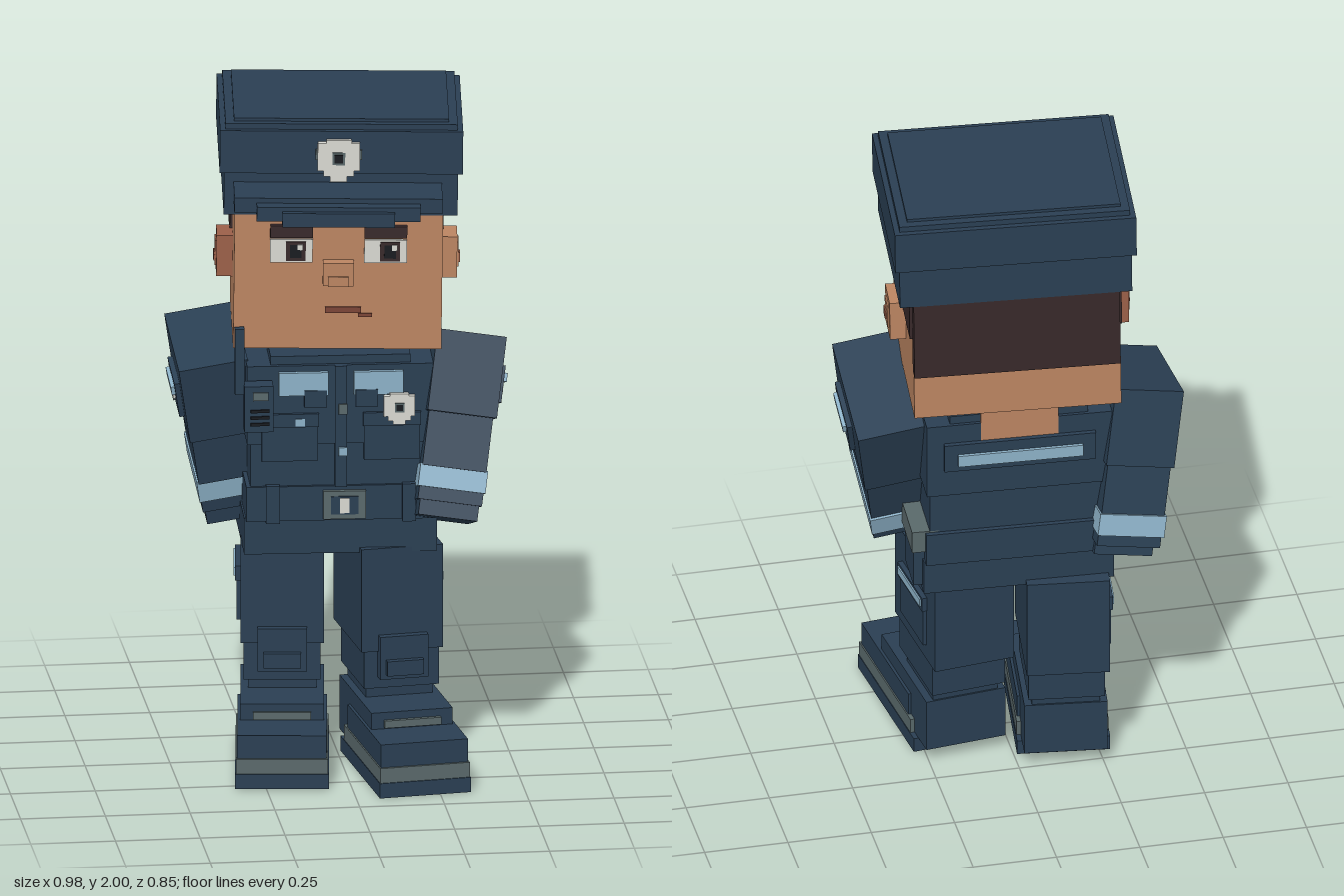
import * as THREE from 'three';

const mat = (name, color) => {
  const m = new THREE.MeshStandardMaterial({ color });
  m.name = name;
  return m;
};

export function createModel() {
  const navy = mat('navy cloth', 0x2a3f53);
  const blue = mat('light blue trim', 0x8db2c8);
  const grey = mat('grey trim', 0x5a696b);
  const white = mat('white enamel', 0xd9d9d2);
  const skin = mat('skin', 0xbc8562);
  const blush = mat('ear tone', 0x9c6049);
  const hair = mat('dark brown hair', 0x38292a);
  const lip = mat('lip', 0x7c4536);
  const black = mat('black', 0x171a1f);

  const model = new THREE.Group();
  model.name = 'officer';

  const group = (name, parent, x, y, z) => {
    const g = new THREE.Group();
    g.name = name;
    g.position.set(x, y, z);
    parent.add(g);
    return g;
  };
  // Box given by its size and centre
  const box = (parent, name, m, w, h, d, x, y, z) => {
    const mesh = new THREE.Mesh(new THREE.BoxGeometry(w, h, d), m);
    mesh.name = name;
    mesh.position.set(x, y, z);
    parent.add(mesh);
  };
  // Box given by its bottom/top and back/front limits
  const slab = (parent, name, m, w, x, y0, y1, z0, z1) =>
    box(parent, name, m, w, y1 - y0, z1 - z0, x, (y0 + y1) / 2, (z0 + z1) / 2);
  // Shield badge with a stepped outline and dark centre
  const badge = (parent, name, x, y, z, s) => {
    const g = group(name, parent, x, y, z);
    box(g, 'badgeBody', white, s, s * 0.68, 0.016, 0, s * 0.12, 0);
    box(g, 'badgeTop', white, s * 0.6, s * 0.1, 0.016, 0, s * 0.48, 0);
    box(g, 'badgeLower', white, s * 0.72, s * 0.16, 0.016, 0, -s * 0.28, 0);
    box(g, 'badgePoint', white, s * 0.4, s * 0.14, 0.016, 0, -s * 0.42, 0);
    box(g, 'badgeRing', grey, s * 0.3, s * 0.3, 0.02, 0, s * 0.08, 0.002);
    box(g, 'badgeCentre', black, s * 0.2, s * 0.2, 0.026, 0, s * 0.08, 0.002);
  };

  // ---- Head and cap, turned slightly to the side ----
  const head = group('head', model, 0, 1.3, -0.095);
  head.rotation.set(0, -0.1, -0.012);
  slab(head, 'face', skin, 0.61, 0, 0, 0.45, -0.25, 0.25);
  slab(head, 'backHair', hair, 0.608, 0.003, 0.16, 0.45, -0.285, -0.24);
  for (const s of [-1, 1]) {
    slab(head, 'sideHair', hair, 0.02, s * 0.303, 0.26, 0.41, -0.225, -0.025);
    box(head, 'ear', s < 0 ? blush : skin, 0.055, 0.125, 0.11, s * 0.325, 0.22, -0.005);
    box(head, 'innerEar', s < 0 ? blush : skin, 0.012, 0.075, 0.062, s * 0.351, 0.222, -0.005);
    box(head, 'earHollow', blush, 0.012, 0.028, 0.034, s * 0.355, 0.212, 0.008);
    const x = s * 0.138;
    box(head, 'eyeWhite', white, 0.125, 0.07, 0.02, x, 0.301, 0.25);
    box(head, 'iris', hair, 0.058, 0.058, 0.02, x + 0.013, 0.301, 0.253);
    box(head, 'pupil', black, 0.034, 0.04, 0.02, x + 0.013, 0.301, 0.256);
    box(head, 'eyeGlint', white, 0.016, 0.016, 0.02, x + 0.026, 0.314, 0.258);
    box(head, 'eyebrow', hair, 0.125, 0.036, 0.04, x, 0.362, 0.25);
  }
  box(head, 'nose', skin, 0.09, 0.07, 0.05, 0, 0.238, 0.265);
  box(head, 'noseBase', skin, 0.06, 0.03, 0.06, 0, 0.218, 0.267);
  box(head, 'mouth', lip, 0.105, 0.018, 0.014, 0.015, 0.12, 0.25);
  box(head, 'mouthCorner', lip, 0.04, 0.01, 0.014, 0.08, 0.104, 0.249);

  const cap = group('cap', head, 0.005, 0, -0.018);
  slab(cap, 'capBand', navy, 0.685, 0, 0.41, 0.54, -0.27, 0.27);
  slab(cap, 'capCrown', navy, 0.712, 0, 0.54, 0.67, -0.282, 0.282);
  slab(cap, 'capRim', navy, 0.68, 0, 0.67, 0.687, -0.265, 0.265);
  slab(cap, 'capTop', navy, 0.63, 0, 0.687, 0.696, -0.24, 0.24);
  for (const s of [-1, 1]) box(cap, 'capStripe', blue, 0.012, 0.028, 0.285, s * 0.343, 0.525, 0.005);
  slab(cap, 'visorInner', navy, 0.61, -0.01, 0.465, 0.51, 0.2, 0.432);
  slab(cap, 'visorMiddle', navy, 0.48, -0.01, 0.452, 0.495, 0.3, 0.473);
  slab(cap, 'visorTip', navy, 0.33, -0.01, 0.44, 0.482, 0.38, 0.492);
  box(cap, 'badgePlate', grey, 0.135, 0.03, 0.012, -0.008, 0.6, 0.286);
  badge(cap, 'capBadge', -0.008, 0.583, 0.297, 0.124);

  // ---- Torso ----
  const torso = group('torso', model, 0, 0, -0.09);
  torso.rotation.y = -0.05;
  slab(torso, 'neck', skin, 0.23, 0, 1.18, 1.32, -0.21, 0.04);
  slab(torso, 'collar', navy, 0.41, 0, 1.22, 1.265, -0.2, 0.2);
  slab(torso, 'chest', navy, 0.55, 0, 1.0, 1.24, -0.21, 0.215);
  slab(torso, 'waist', navy, 0.53, 0, 0.86, 1.0, -0.2, 0.205);
  slab(torso, 'belt', navy, 0.555, 0, 0.765, 0.87, -0.215, 0.215);
  slab(torso, 'hips', navy, 0.565, 0, 0.66, 0.77, -0.2, 0.2);
  slab(torso, 'backYoke', navy, 0.45, 0, 1.09, 1.18, -0.225, -0.2);
  slab(torso, 'backStripe', blue, 0.37, 0, 1.11, 1.147, -0.235, -0.2);
  slab(torso, 'placket', navy, 0.035, 0, 0.87, 1.24, 0.2, 0.228);
  box(torso, 'topButton', grey, 0.025, 0.03, 0.02, 0.005, 1.11, 0.226);
  box(torso, 'lowButton', blue, 0.025, 0.025, 0.02, 0.005, 0.98, 0.226);
  for (const s of [-1, 1]) {
    const x = s * 0.11;
    box(torso, 'chestPanel', blue, 0.145, 0.07, 0.02, x, 1.187, 0.22);
    box(torso, 'collarTab', navy, 0.065, 0.052, 0.03, s * 0.075, 1.142, 0.218);
    box(torso, 'pocket', navy, 0.165, 0.13, 0.02, s * 0.15, 1.015, 0.212);
    box(torso, 'pocketFlap', navy, 0.17, 0.04, 0.026, s * 0.15, 1.075, 0.214);
    box(torso, 'beltLoop', navy, 0.04, 0.115, 0.02, s * 0.2, 0.818, 0.218);
  }
  box(torso, 'pocketButton', blue, 0.027, 0.022, 0.03, -0.12, 1.07, 0.216);
  badge(torso, 'chestBadge', 0.17, 1.108, 0.237, 0.092);
  box(torso, 'buckle', grey, 0.125, 0.085, 0.025, 0.01, 0.815, 0.218);
  box(torso, 'buckleInset', navy, 0.08, 0.055, 0.025, 0.01, 0.815, 0.222);
  box(torso, 'bucklePin', white, 0.028, 0.045, 0.025, 0.01, 0.815, 0.226);

  // Shoulder radio and hip pouch
  const radio = group('radio', torso, -0.245, 1.13, 0.255);
  box(radio, 'radioBody', navy, 0.085, 0.14, 0.06, 0, 0, 0);
  box(radio, 'antenna', navy, 0.028, 0.2, 0.028, -0.055, 0.14, -0.005);
  box(radio, 'radioScreen', grey, 0.045, 0.025, 0.01, 0.005, 0.04, 0.03);
  for (let i = 0; i < 3; i++) box(radio, 'radioGrille', black, 0.055, 0.009, 0.01, 0.003, -0.005 - i * 0.02, 0.03);
  const pouch = group('hipPouch', torso, 0.275, 0, -0.11);
  slab(pouch, 'pouchBody', navy, 0.07, 0, 0.68, 0.85, -0.07, 0.075);
  slab(pouch, 'pouchFlap', grey, 0.085, 0, 0.805, 0.875, -0.09, 0.09);

  // ---- Arms, one swung well forward and one a little back ----
  for (const s of [-1, 1]) {
    const arm = group(s > 0 ? 'leftArm' : 'rightArm', model, s * 0.378, 1.262, s > 0 ? -0.06 : -0.13);
    arm.rotation.set(s > 0 ? -0.33 : 0.18, 0, s * -0.16);
    slab(arm, 'upperArm', navy, 0.205, 0, -0.24, 0, -0.185, 0.185);
    slab(arm, 'forearm', navy, 0.19, 0, -0.4, -0.23, -0.172, 0.15);
    slab(arm, 'cuffStripe', blue, 0.2, 0, -0.462, -0.395, -0.18, 0.145);
    slab(arm, 'cuff', navy, 0.19, 0, -0.5, -0.46, -0.165, 0.138);
    slab(arm, 'glove', navy, 0.175, 0, -0.545, -0.49, -0.115, 0.13);
    box(arm, 'sleevePatch', navy, 0.02, 0.11, 0.175, s * 0.108, -0.135, 0.02);
    box(arm, 'patchStripe', blue, 0.02, 0.026, 0.13, s * 0.119, -0.113, 0.02);
    box(arm, 'patchBar', white, 0.02, 0.016, 0.065, s * 0.115, -0.15, 0.015);
    box(arm, 'patchPoint', grey, 0.02, 0.014, 0.035, s * 0.115, -0.165, 0.015);
  }

  // ---- Legs and boots, toes turned out, left leg ahead ----
  for (const s of [-1, 1]) {
    const leg = group(s > 0 ? 'leftLeg' : 'rightLeg', model, s * 0.148, 0, s > 0 ? -0.065 : -0.175);
    leg.rotation.y = s * 0.12;
    slab(leg, 'thigh', navy, 0.245, 0, 0.36, 0.675, -0.16, 0.19);
    slab(leg, 'shin', navy, 0.225, 0, 0.245, 0.365, -0.11, 0.18);
    slab(leg, 'ankle', navy, 0.2, 0, 0.19, 0.25, -0.08, 0.15);
    slab(leg, 'kneePad', navy, 0.145, 0, 0.28, 0.41, 0.17, 0.215);
    slab(leg, 'kneePadInset', navy, 0.11, 0, 0.295, 0.34, 0.2, 0.235);
    slab(leg, 'cargoPocket', navy, 0.03, s * 0.118, 0.41, 0.565, -0.085, 0.12);
    slab(leg, 'cargoFlap', navy, 0.04, s * 0.118, 0.53, 0.575, -0.09, 0.125);
    slab(leg, 'cargoStripe', blue, 0.045, s * 0.12, 0.543, 0.567, -0.08, 0.115);
    slab(leg, 'bootUpper', navy, 0.245, 0, 0.045, 0.21, -0.085, 0.31);
    slab(leg, 'bootLace', grey, 0.17, 0, 0.165, 0.187, 0.28, 0.323);
    slab(leg, 'bootToe', navy, 0.262, 0, 0.085, 0.16, 0.05, 0.464);
    slab(leg, 'bootStripe', grey, 0.27, 0, 0.043, 0.09, 0.02, 0.472);
    slab(leg, 'bootSole', navy, 0.274, 0, 0, 0.045, -0.015, 0.476);
  }
  return model;
}
